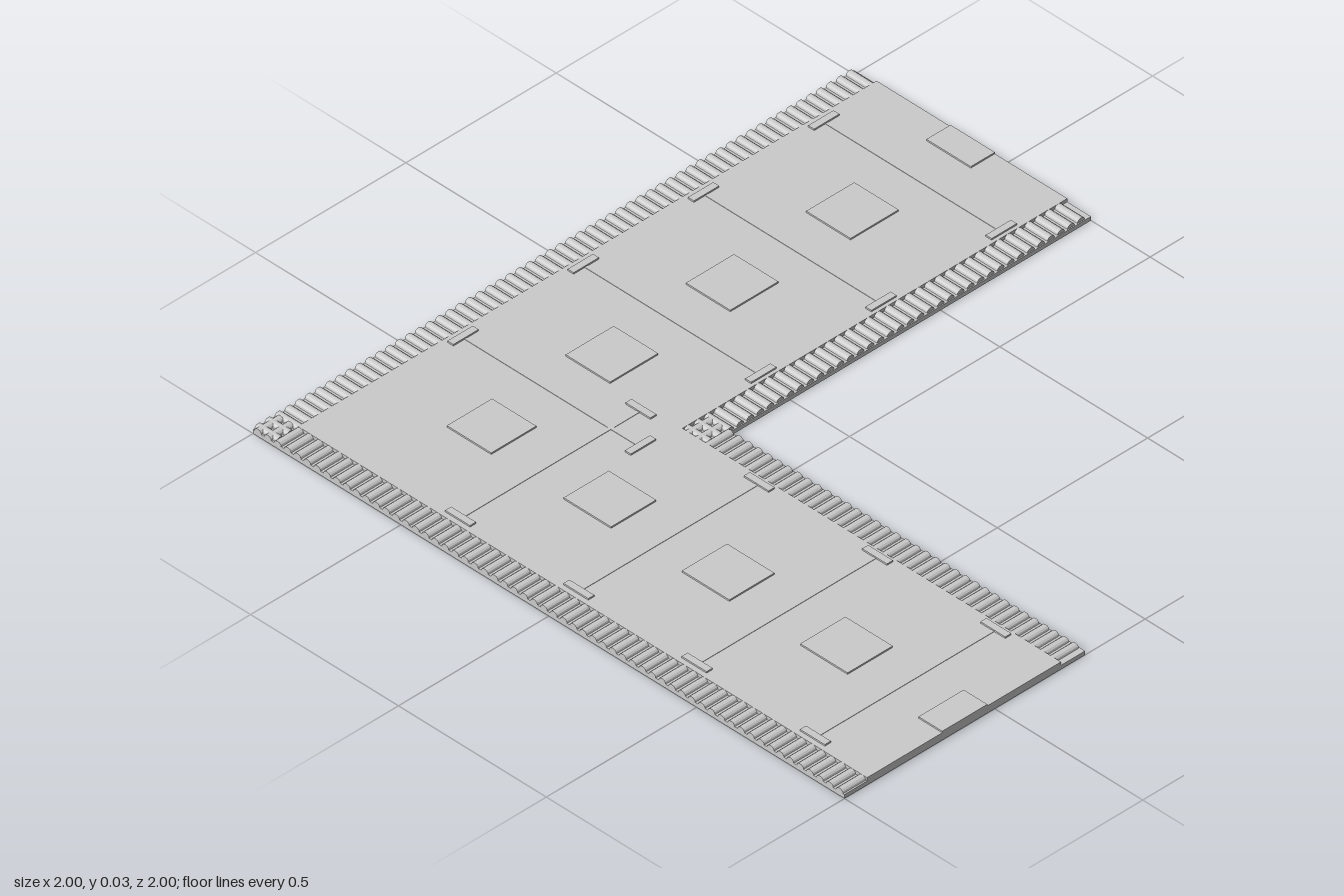
import * as THREE from 'three';
import { mergeGeometries } from 'three/addons/utils/BufferGeometryUtils.js';

const BASE = 0.012;   // floor of the ribbed borders
const TOP = 0.0222;   // walking surface
const RAISED = 0.0268;
const PITCH = 1 / 30;

const material = new THREE.MeshStandardMaterial({ color: 0xcccccc, flatShading: true });

// Box given by its ranges on x, y and z
function block(x0, x1, y0, y1, z0, z1) {
  return new THREE.BoxGeometry(x1 - x0, y1 - y0, z1 - z0)
    .translate((x0 + x1) / 2, (y0 + y1) / 2, (z0 + z1) / 2);
}

// L-shaped slab: outer corner at (o, o), inner corner at (i, i), arms running to 1
function cornerSlab(o, i, y0, y1) {
  const points = [[o, o], [1, o], [1, i], [i, i], [i, 1], [o, 1]];
  const shape = new THREE.Shape(points.map(([x, z]) => new THREE.Vector2(x, -z)));
  return new THREE.ExtrudeGeometry(shape, { depth: y1 - y0, bevelEnabled: false })
    .rotateX(-Math.PI / 2).translate(0, y0, 0);
}

// Row of rounded ribs lying along z, set side by side along x
function ribRow(from, z0, z1) {
  const ribs = [];
  for (let x = from + PITCH / 2; x < 1; x += PITCH) {
    const rib = new THREE.CylinderGeometry(0.012, 0.012, z1 - z0, 6, 1, false, -Math.PI / 2, Math.PI);
    rib.rotateX(-Math.PI / 2).scale(1, (TOP - BASE) / 0.012, 1);
    ribs.push(rib.translate(x, BASE, (z0 + z1) / 2));
  }
  return mergeGeometries(ribs);
}

// Swaps x and z, reversing the winding so the faces still point outward
function swapArms(geometry) {
  const g = geometry.clone().toNonIndexed();
  const p = g.attributes.position;
  const v = [];
  for (let i = 0; i < p.count; i += 3) {
    for (const j of [i, i + 2, i + 1]) v.push(p.getZ(j), p.getY(j), p.getX(j));
  }
  const out = new THREE.BufferGeometry();
  out.setAttribute('position', new THREE.Float32BufferAttribute(v, 3));
  out.computeVertexNormals();
  return out;
}

export function createModel() {
  const group = new THREE.Group();
  const add = (name, geometry) => {
    const mesh = new THREE.Mesh(geometry, material);
    mesh.name = name;
    group.add(mesh);
  };
  const addBoth = (name, geometry) => {
    add(name + 'Across', geometry);
    add(name + 'Along', swapArms(geometry));
  };

  add('baseSlab', cornerSlab(-1, -0.2, 0, BASE));
  add('walkingSurface', cornerSlab(-0.925, -0.28, BASE, TOP));

  // Ribbed borders on the outer and inner edges of both arms
  addBoth('outerRibs', ribRow(-1, -1, -0.925));
  addBoth('innerRibs', ribRow(-0.28, -0.28, -0.203));

  // Raised square in the middle of each paving unit, cut off at the arm's end
  add('cornerPad', block(-0.675, -0.525, TOP, RAISED, -0.675, -0.525));
  const pads = [];
  for (let k = 1; k <= 4; k++) {
    const x = -0.6 + 0.4 * k;
    pads.push(block(x - 0.08, Math.min(x + 0.08, 1), TOP, RAISED, -0.675, -0.525));
  }
  addBoth('pads', mergeGeometries(pads));

  // Thin seams between units, with a short raised bar at either end
  const seams = [];
  const bars = [];
  for (let k = -1; k <= 2; k++) {
    const x = 0.4 * k;
    seams.push(block(x - 0.005, x + 0.005, TOP, TOP + 0.0012, -0.89, -0.31));
    for (const z of [-0.9, -0.3]) bars.push(block(x - 0.042, x + 0.042, TOP, RAISED, z - 0.01, z + 0.01));
  }
  addBoth('seams', mergeGeometries(seams));
  addBoth('seamBars', mergeGeometries(bars));
  return group;
}
